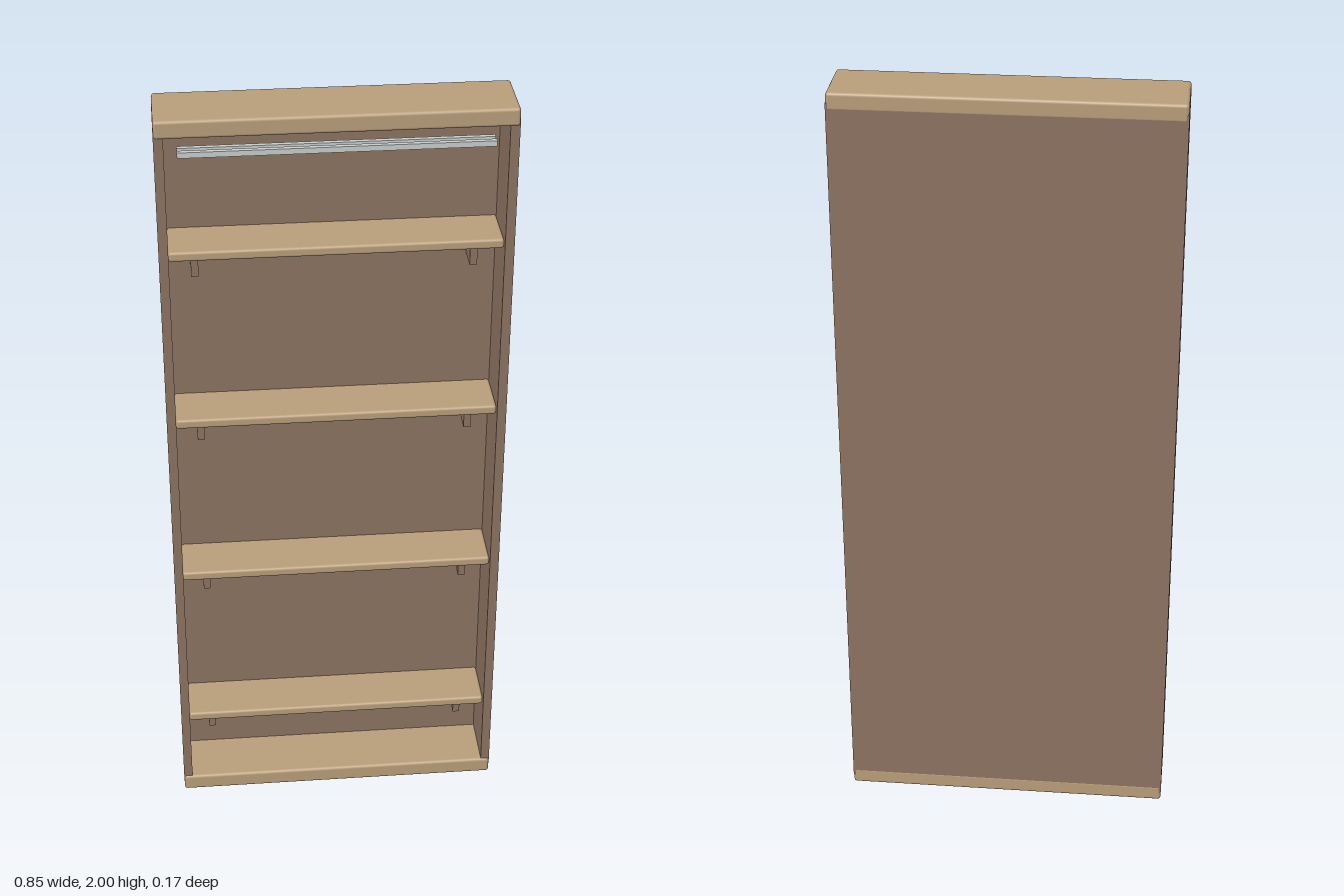
import * as THREE from 'three';
import { RoundedBoxGeometry } from 'three/addons/geometries/RoundedBoxGeometry.js';

export function createModel() {
  const group = new THREE.Group();
  const material = (name, color) => Object.assign(new THREE.MeshStandardMaterial({ color }), { name });
  const tan = material('light wood', 0xb89d79);
  const brown = material('dark wood', 0x8b7260);
  const metal = material('pale metal', 0xc6ccca);

  // Adds a box given its lower and upper corners; a radius rounds its edges
  function box(name, mat, [x0, y0, z0], [x1, y1, z1], radius = 0) {
    const size = [x1 - x0, y1 - y0, z1 - z0];
    const geometry = radius ? new RoundedBoxGeometry(...size, 3, radius) : new THREE.BoxGeometry(...size);
    const mesh = new THREE.Mesh(geometry, mat);
    mesh.name = name;
    mesh.position.set((x0 + x1) / 2, (y0 + y1) / 2, (z0 + z1) / 2);
    group.add(mesh);
  }

  // Rounded top and bottom boards
  box('topBoard', tan, [-0.4225, 1.955, -0.084], [0.4225, 2, 0.084], 0.008);
  box('bottomBoard', tan, [-0.4225, 0, -0.084], [0.4225, 0.045, 0.084], 0.008);

  // Back and side panels
  box('backPanel', brown, [-0.41, 0.025, -0.0835], [0.41, 1.975, -0.066]);
  box('leftPanel', brown, [0.4, 0.025, -0.0835], [0.423, 1.975, 0.079]);
  box('rightPanel', brown, [-0.423, 0.025, -0.0835], [-0.4, 1.975, 0.079]);

  // Shelves, each resting on two brackets
  for (const y of [0.24, 0.71, 1.176, 1.643]) {
    box('shelf', tan, [-0.4, y - 0.0125, -0.07], [0.4, y + 0.0125, 0.066], 0.007);
    for (const x of [-0.338, 0.338]) {
      box('shelfBracket', brown, [x - 0.009, y - 0.088, -0.068], [x + 0.009, y - 0.011, 0]);
    }
  }

  // Slim light rail under the top board, with a groove along it
  box('lightRailBase', metal, [-0.37, 1.907, 0.047], [0.37, 1.914, 0.083]);
  box('lightRailFrontLip', metal, [-0.37, 1.907, 0.071], [0.37, 1.921, 0.083]);
  box('lightRailBackLip', metal, [-0.37, 1.907, 0.047], [0.37, 1.921, 0.059]);

  return group;
}
